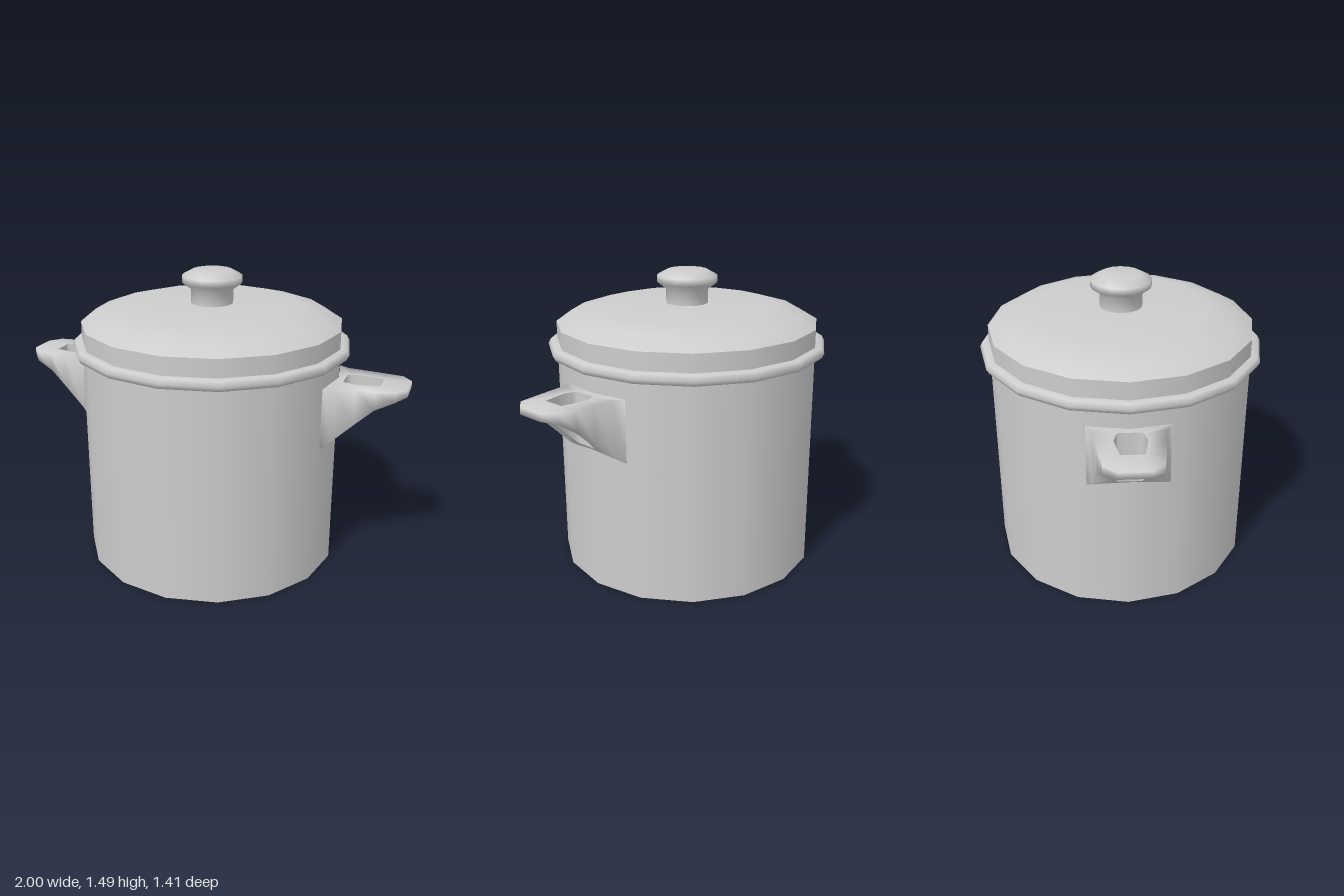
import * as THREE from 'three';

const SIDES = 16;
const metal = new THREE.MeshStandardMaterial({ color: 0xcccccc, side: THREE.DoubleSide });
metal.name = 'grey metal';

// Turned part from [radius, y] points listed bottom to top
function turned(name, points) {
  const profile = points.map(([r, y]) => new THREE.Vector2(r, y));
  const mesh = new THREE.Mesh(new THREE.LatheGeometry(profile, SIDES), metal);
  mesh.name = name;
  return mesh;
}

// Height of the handle's sloping underside at distance x from the axis
function underside(x) {
  const curve = [[0.6, 0.68], [0.622, 0.69], [0.69, 0.745], [0.76, 0.815], [0.87, 0.915], [0.95, 0.95], [1, 0.965]];
  let i = 1;
  while (i < curve.length - 1 && x > curve[i][0]) i++;
  const [x0, y0] = curve[i - 1], [x1, y1] = curve[i];
  return y0 + (y1 - y0) * (x - x0) / (x1 - x0);
}

// Bracket-shaped handle: cross-sections swept around the finger hole
function handleGeometry() {
  const top = 1.0;
  // outer x, outer z, hole x, hole z
  const half = [
    [0.622, 0.195, 0.69, 0.055],
    [0.67, 0.167, 0.71, 0.063],
    [0.77, 0.155, 0.75, 0.075],
    [0.86, 0.143, 0.81, 0.066],
    [0.95, 0.13, 0.87, 0.053],
    [1.0, 0.07, 0.87, 0.03],
  ];
  const mirrored = half.map(([ox, oz, ix, iz]) => [ox, -oz, ix, -iz]).reverse();
  const stations = [[0.657, 0, 0.69, 0], ...half, ...mirrored];
  const n = stations.length;
  const positions = [], index = [];
  for (const [ox, oz, ix, iz] of stations) {
    const ob = underside(ox), ib = underside(ix);
    // hole edges are doubled so they stay sharp
    positions.push(
      ix, top, iz, ox, top, oz, ox, ob, oz,
      ix, ib, iz, ix, ib, iz, ix, top, iz);
  }
  stations.forEach((_, i) => {
    const j = (i + 1) % n;
    const againstWall = i === 0 || j === 0;
    for (const k of [0, 1, 2, 4]) {
      if (k === 1 && againstWall) continue;
      const a = i * 6 + k, b = j * 6 + k;
      index.push(a, a + 1, b + 1, a, b + 1, b);
    }
  });
  const geometry = new THREE.BufferGeometry();
  geometry.setAttribute('position', new THREE.Float32BufferAttribute(positions, 3));
  geometry.setIndex(index);
  geometry.computeVertexNormals();
  return geometry;
}

export function createModel() {
  const pot = new THREE.Group();
  pot.name = 'cookingPot';

  // Straight wall, open underneath
  pot.add(turned('body', [[0.657, 0], [0.657, 1.115]]));

  // Rolled rim where the lid meets the body
  pot.add(turned('rim', [[0.655, 1.09], [0.69, 1.092], [0.703, 1.116], [0.69, 1.14], [0.655, 1.142]]));

  // Lid: short upright band, then a shallow dome
  pot.add(turned('lidBand', [[0.657, 1.115], [0.657, 1.23]]));
  pot.add(turned('lidDome', [[0.657, 1.23], [0.575, 1.278], [0.43, 1.317], [0, 1.32]]));

  // Knob with a narrow stem
  pot.add(turned('knob', [
    [0.105, 1.32], [0.105, 1.39], [0.15, 1.423], [0.15, 1.457], [0.1, 1.484], [0, 1.485],
  ]));

  // Matching handles on both sides
  const geometry = handleGeometry();
  for (const [name, turn] of [['leftHandle', 0], ['rightHandle', Math.PI]]) {
    const handle = new THREE.Mesh(geometry, metal);
    handle.name = name;
    handle.rotation.y = turn;
    pot.add(handle);
  }
  return pot;
}
